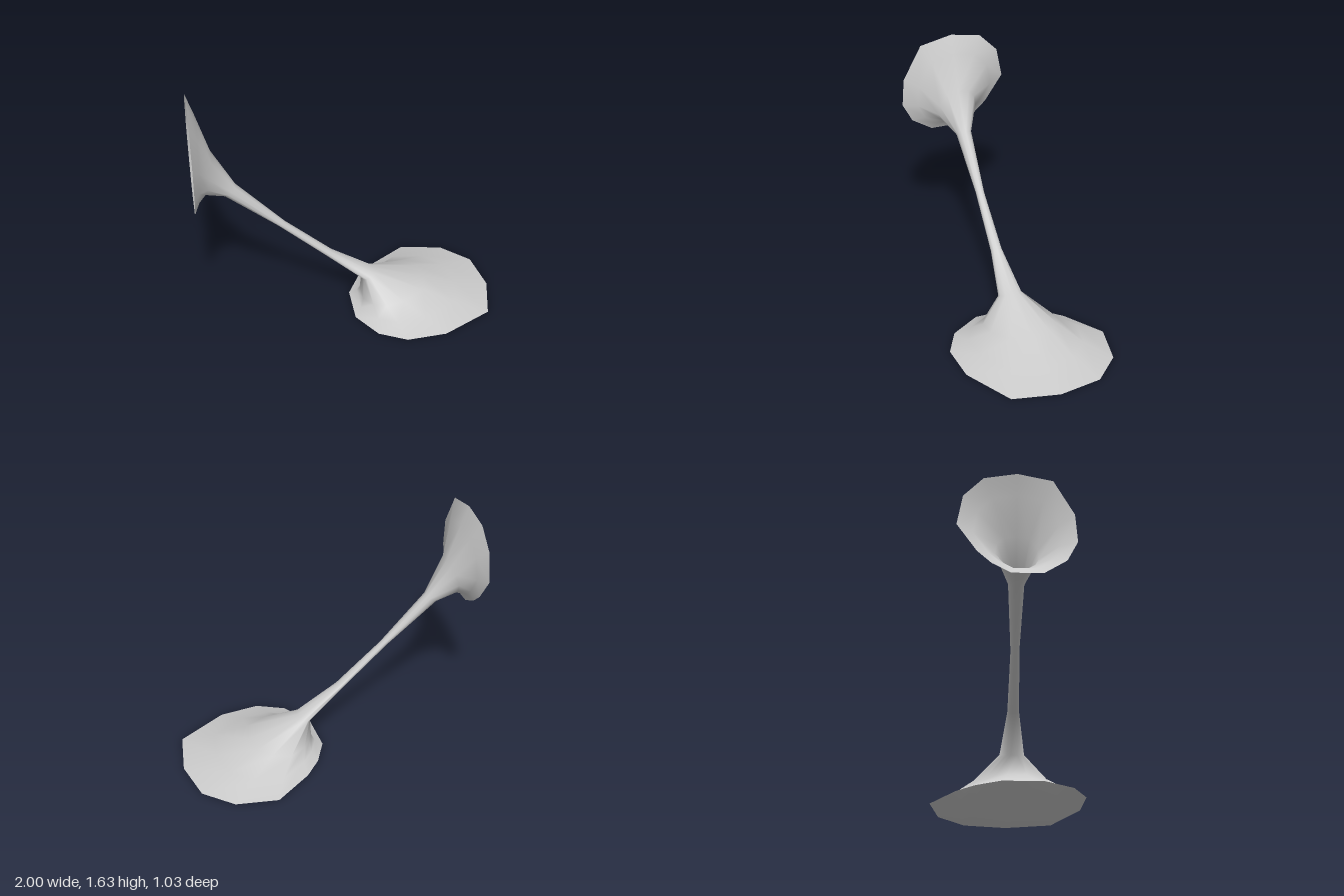
import * as THREE from 'three';

// Rim outline shared by all rings: [fraction from lower to upper point, sideways factor]
const OUTLINE = [
  [1, 0], [0.95, -0.56], [0.765, -0.9], [0.475, -1], [0.21, -0.66], [0.092, -0.42],
  [0, -0.1], [0, 0.43], [0.127, 0.81], [0.313, 0.99], [0.588, 0.95], [0.93, 0.6],
];

// Rings from wall rim to floor rim: upper x, y, lower x, y, half width, centre z
const RINGS = [
  [-1, 1.635, -1, 0.94, 0.37, 0.015],
  [-0.95, 1.51, -0.97, 0.99, 0.27, 0.015],
  [-0.865, 1.265, -0.93, 1.005, 0.135, 0.015],
  [-0.72, 1.02, -0.8, 0.96, 0.05, 0.015],
  [-0.41, 0.7, -0.46, 0.685, 0.028, 0.018],
  [-0.1, 0.43, -0.13, 0.395, 0.038, 0.018],
  [0.19, 0.24, 0.1, 0.2, 0.08, 0.017],
  [0.54, 0.13, 0.1, 0.07, 0.24, 0.01],
  [0.77, 0.05, 0.08, 0.03, 0.37, 0.005],
  [1, 0, 0.03, 0, 0.52, 0],
];

// Skin the rings into one open tube
function loftRings() {
  const n = OUTLINE.length;
  const positions = [];
  const indices = [];
  for (const [ux, uy, lx, ly, halfWidth, cz] of RINGS) {
    for (const [t, s] of OUTLINE) {
      positions.push(lx + (ux - lx) * t, ly + (uy - ly) * t, cz + s * halfWidth);
    }
  }
  for (let i = 0; i < RINGS.length - 1; i++) {
    for (let k = 0; k < n; k++) {
      const a = i * n + k;
      const b = i * n + ((k + 1) % n);
      indices.push(a, a + n, b, b, a + n, b + n);
    }
  }
  const geometry = new THREE.BufferGeometry();
  geometry.setAttribute('position', new THREE.Float32BufferAttribute(positions, 3));
  geometry.setIndex(indices);
  geometry.computeVertexNormals();
  return geometry;
}

export function createModel() {
  const group = new THREE.Group();
  group.name = 'doubleFunnel';

  // Slender neck flaring into an open bell at each end
  const material = new THREE.MeshStandardMaterial({ color: 0xcccccc, side: THREE.DoubleSide });
  const funnel = new THREE.Mesh(loftRings(), material);
  funnel.name = 'flaredTube';
  group.add(funnel);

  return group;
}
